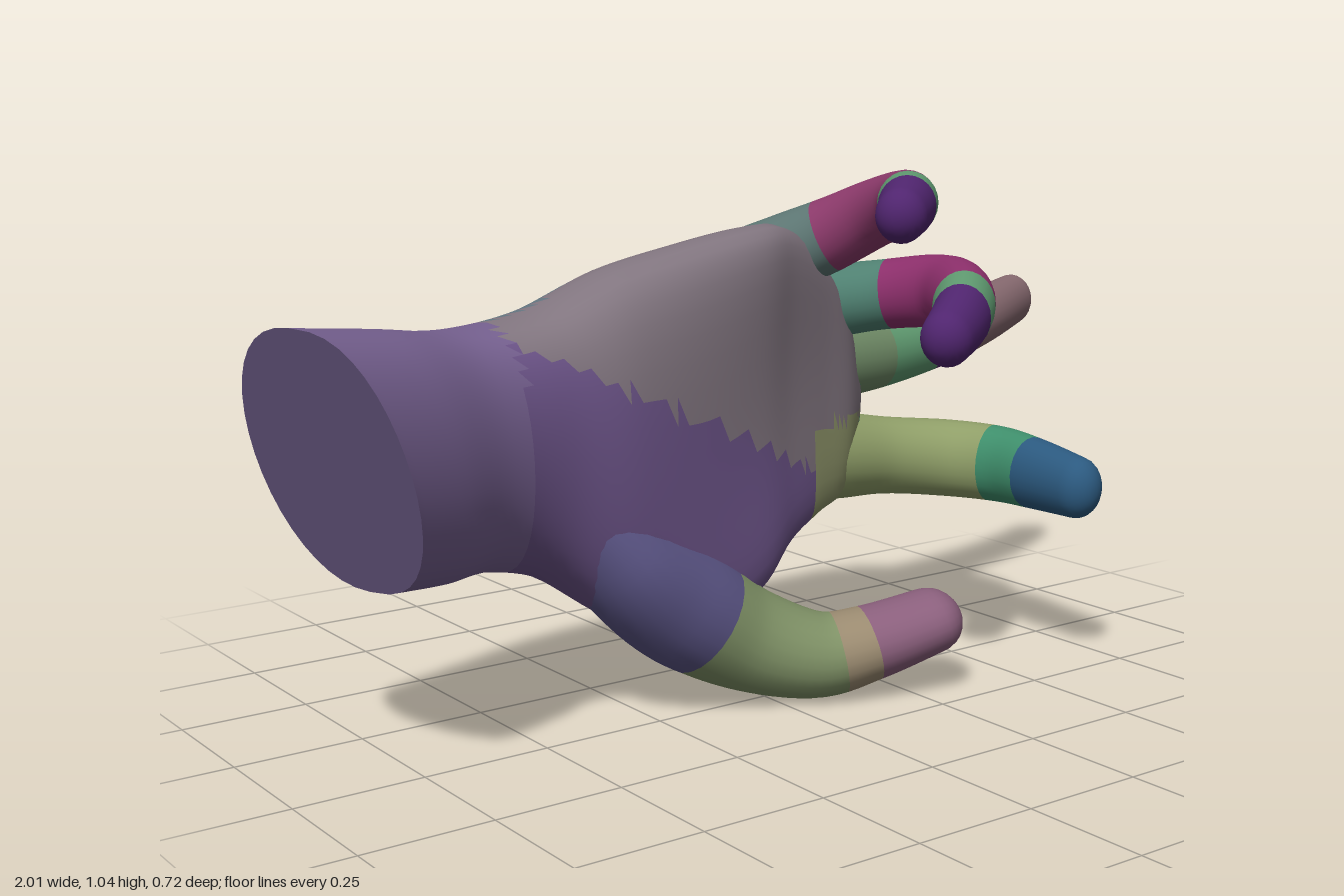
import * as THREE from 'three';

const SIDES = 24;

// Skin of a stack of rings; faces are sorted into colour patches by tint(centre).
function skin(name, rings, tint, capStart = true) {
  const pos = [], n = rings[0].length;
  rings.forEach((r) => r.forEach((p) => pos.push(p.x, p.y, p.z)));
  const middle = (r) => r.reduce((s, p) => s.add(p), new THREE.Vector3()).divideScalar(n);
  const last = rings.length - 1, base = last * n, s = rings.length * n, e = s + 1;
  for (const r of [rings[0], rings[last]]) pos.push(...middle(r).toArray());

  const patches = new Map();
  const add = (...t) => {
    const c = new THREE.Vector3();
    t.forEach((i) => c.add(new THREE.Vector3().fromArray(pos, i * 3)));
    const color = tint(c.divideScalar(3), Math.min(1, Math.floor(t[0] / n) / last));
    if (!patches.has(color)) patches.set(color, []);
    patches.get(color).push(...t);
  };
  for (let i = 0; i < last; i++) {
    for (let j = 0; j < n; j++) {
      const k = (j + 1) % n, a = i * n + j, b = i * n + k;
      add(a, b, b + n);
      add(a, b + n, a + n);
    }
  }
  for (let j = 0; j < n; j++) {
    const k = (j + 1) % n;
    add(base + j, base + k, e);
    if (capStart) add(k, j, s);
  }

  const geo = new THREE.BufferGeometry();
  geo.setAttribute('position', new THREE.Float32BufferAttribute(pos, 3));
  const index = [], mats = [];
  for (const [color, tris] of patches) {
    geo.addGroup(index.length, tris.length, mats.length);
    for (const t of tris) index.push(t);
    mats.push(new THREE.MeshStandardMaterial({ color }));
  }
  geo.setIndex(index);
  geo.computeVertexNormals();
  const mesh = new THREE.Mesh(geo, mats);
  mesh.name = name;
  return mesh;
}

// Smooth interpolation through rows of numbers, t from 0 to 1
function sampleRows(rows, t) {
  const f = t * (rows.length - 1), i = Math.min(Math.floor(f), rows.length - 2), u = f - i;
  const row = (k) => rows[Math.max(0, Math.min(rows.length - 1, k))];
  return rows[i].map((p1, c) => {
    const p0 = row(i - 1)[c], p2 = row(i + 1)[c], p3 = row(i + 2)[c];
    return p1 + 0.5 * u * (p2 - p0 + u * (2 * p0 - 5 * p1 + 4 * p2 - p3 + u * (3 * (p1 - p2) + p3 - p0)));
  });
}

// Finger along rows of [x, y, z, radius upward, radius sideways], with a round tip
function finger(name, rows, bands) {
  const rings = [], steps = 42, tipSteps = 7;
  const ring = (c, T, ru, rs) => {
    const side = T.clone().cross(new THREE.Vector3(0, 1, 0)).normalize();
    const up = side.clone().cross(T).normalize();
    rings.push(Array.from({ length: SIDES }, (_, j) => {
      const a = (j / SIDES) * Math.PI * 2;
      return c.clone().addScaledVector(up, ru * Math.cos(a)).addScaledVector(side, rs * Math.sin(a));
    }));
  };
  const at = (t) => new THREE.Vector3(...sampleRows(rows, t).slice(0, 3));
  const heading = (t) => at(Math.min(1, t + 0.03)).sub(at(Math.max(0, t - 0.03))).normalize();
  for (let i = 0; i <= steps; i++) {
    const r = sampleRows(rows, i / steps);
    ring(at(i / steps), heading(i / steps), r[3], r[4]);
  }
  const end = rows[rows.length - 1], T = heading(1);
  for (let i = 1; i < tipSteps; i++) {
    const a = (i / tipSteps) * Math.PI / 2, k = Math.cos(a);
    ring(at(1).addScaledVector(T, Math.sin(a) * Math.min(end[3], end[4])), T, end[3] * k, end[4] * k);
  }
  return skin(name, rings, (c, t) => bands.find((b) => t <= b[0])[1]);
}

export function createModel() {
  const hand = new THREE.Group();
  hand.name = 'hand';

  // Forearm and palm: [x, top, bottom, back z, front z, cupping, slant]
  const stations = [
    [-0.91, 0.83, 0.35, -0.16, 0.19, 0, 0.34],
    [-0.76, 0.805, 0.34, -0.22, 0.14, 0, 0.2],
    [-0.61, 0.78, 0.335, -0.28, 0.08, 0, 0.08],
    [-0.46, 0.80, 0.30, -0.31, 0.05, 0.02, 0],
    [-0.31, 0.865, 0.20, -0.31, 0.05, 0.04, 0],
    [-0.15, 0.905, 0.14, -0.31, 0.03, 0.07, 0],
    [0.00, 0.93, 0.205, -0.31, 0.0, 0.09, 0],
    [0.10, 0.925, 0.285, -0.305, -0.035, 0.08, 0],
    [0.20, 0.865, 0.325, -0.295, -0.065, 0.06, 0],
    [0.29, 0.77, 0.35, -0.28, -0.09, 0.03, 0],
    [0.35, 0.67, 0.43, -0.26, -0.13, 0, 0],
  ];
  const palmRings = [];
  for (let i = 0; i <= 60; i++) {
    const [x, top, bottom, back, front, cup, slant] = sampleRows(stations, i / 60);
    palmRings.push(Array.from({ length: 40 }, (_, j) => {
      const a = (j / 40) * Math.PI * 2, c = Math.cos(a), s = Math.sin(a);
      const dy = c * (top - bottom) / 2;
      const dz = Math.sign(s) * Math.abs(s) ** (s > 0 ? 0.75 : 0.9) * (front - back) / 2;
      const z = (front + back) / 2 + dz + cup * c * c + 0.5 * slant * dy;
      return new THREE.Vector3(x + slant * (dz - dy), (top + bottom) / 2 + dy, z);
    }));
  }
  const palmTint = (p) => {
    if (p.x < -0.55) return 0x75608f;
    if (p.z > -0.13) {
      if (p.x > 0.17 && p.y < 0.52) return 0x8c9268;
      return p.y < 0.62 - 0.45 * (p.x + 0.25) ? 0x6b5387 : 0x81757f;
    }
    if (p.y < 0.42) return p.x > 0.17 ? 0x66845c : 0x47527c;
    return p.x > 0.05 ? 0x4f8071 : 0x647580;
  };
  hand.add(skin('palmAndForearm', palmRings, palmTint, false));

  // Flat cut at the end of the forearm
  const cut = palmRings[0];
  const cutGeo = new THREE.BufferGeometry().setFromPoints(cut);
  cutGeo.setIndex(cut.slice(2).flatMap((_, j) => [0, j + 2, j + 1]));
  cutGeo.computeVertexNormals();
  const cutMesh = new THREE.Mesh(cutGeo, new THREE.MeshStandardMaterial({ color: 0x6b5a85 }));
  cutMesh.name = 'forearmCut';
  hand.add(cutMesh);

  // Thumb with the mound at its root
  hand.add(finger('thumb', [
    [-0.44, 0.48, -0.06, 0.05, 0.06],
    [-0.31, 0.33, -0.06, 0.1, 0.13],
    [-0.18, 0.22, -0.04, 0.12, 0.13],
    [-0.05, 0.135, -0.01, 0.105, 0.115],
    [0.08, 0.09, 0.055, 0.086, 0.1],
    [0.18, 0.108, 0.105, 0.074, 0.092],
    [0.3, 0.143, 0.15, 0.064, 0.085],
  ], [[0.34, 0x5a5484], [0.64, 0x7f9166], [0.72, 0x9a8a70], [1, 0x8a5f7c]]));

  // Index finger, bent forward
  hand.add(finger('indexFinger', [
    [-0.04, 0.51, -0.17, 0.05, 0.05],
    [0.12, 0.475, -0.18, 0.09, 0.08],
    [0.28, 0.432, -0.18, 0.095, 0.09],
    [0.44, 0.413, -0.165, 0.083, 0.08],
    [0.565, 0.402, -0.10, 0.083, 0.074],
    [0.617, 0.4, 0.01, 0.081, 0.063],
    [0.614, 0.398, 0.13, 0.074, 0.058],
    [0.605, 0.393, 0.25, 0.064, 0.051],
  ], [[0.6, 0x8f9e68], [0.71, 0x3f8f6c], [1, 0x2c5a80]]));

  // Middle finger, straight
  hand.add(finger('middleFinger', [
    [-0.08, 0.62, -0.19, 0.05, 0.05],
    [0.14, 0.625, -0.2, 0.09, 0.09],
    [0.32, 0.63, -0.197, 0.087, 0.085],
    [0.46, 0.633, -0.198, 0.077, 0.076],
    [0.63, 0.652, -0.215, 0.071, 0.072],
    [0.79, 0.675, -0.25, 0.064, 0.062],
    [0.95, 0.695, -0.312, 0.058, 0.048],
  ], [[0.4, 0x6f8a66], [0.54, 0x5f9a70], [0.63, 0x5a2a6c], [1, 0x86696f]]));

  // Ring finger, curled
  hand.add(finger('ringFinger', [
    [-0.2, 0.69, -0.2, 0.05, 0.05],
    [-0.03, 0.72, -0.212, 0.08, 0.075],
    [0.12, 0.735, -0.205, 0.085, 0.085],
    [0.25, 0.75, -0.18, 0.08, 0.082],
    [0.36, 0.77, -0.09, 0.072, 0.07],
    [0.405, 0.787, 0.04, 0.074, 0.062],
    [0.37, 0.785, 0.15, 0.074, 0.064],
    [0.285, 0.767, 0.245, 0.067, 0.057],
    [0.185, 0.742, 0.315, 0.055, 0.05],
  ], [[0.44, 0x4f8071], [0.7, 0x8c2f6b], [0.76, 0x5f9a70], [1, 0x50256f]]));

  // Little finger, curled
  hand.add(finger('littleFinger', [
    [-0.25, 0.74, -0.17, 0.05, 0.05],
    [-0.08, 0.79, -0.17, 0.07, 0.07],
    [0.04, 0.828, -0.163, 0.077, 0.077],
    [0.14, 0.86, -0.145, 0.078, 0.077],
    [0.215, 0.9, -0.08, 0.074, 0.07],
    [0.25, 0.948, 0.02, 0.067, 0.062],
    [0.235, 0.978, 0.13, 0.062, 0.06],
    [0.17, 0.98, 0.215, 0.058, 0.055],
    [0.1, 0.97, 0.28, 0.052, 0.048],
  ], [[0.43, 0x5c7572], [0.7, 0x8c3a6b], [0.76, 0x5f9a70], [1, 0x50256f]]));

  return hand;
}
